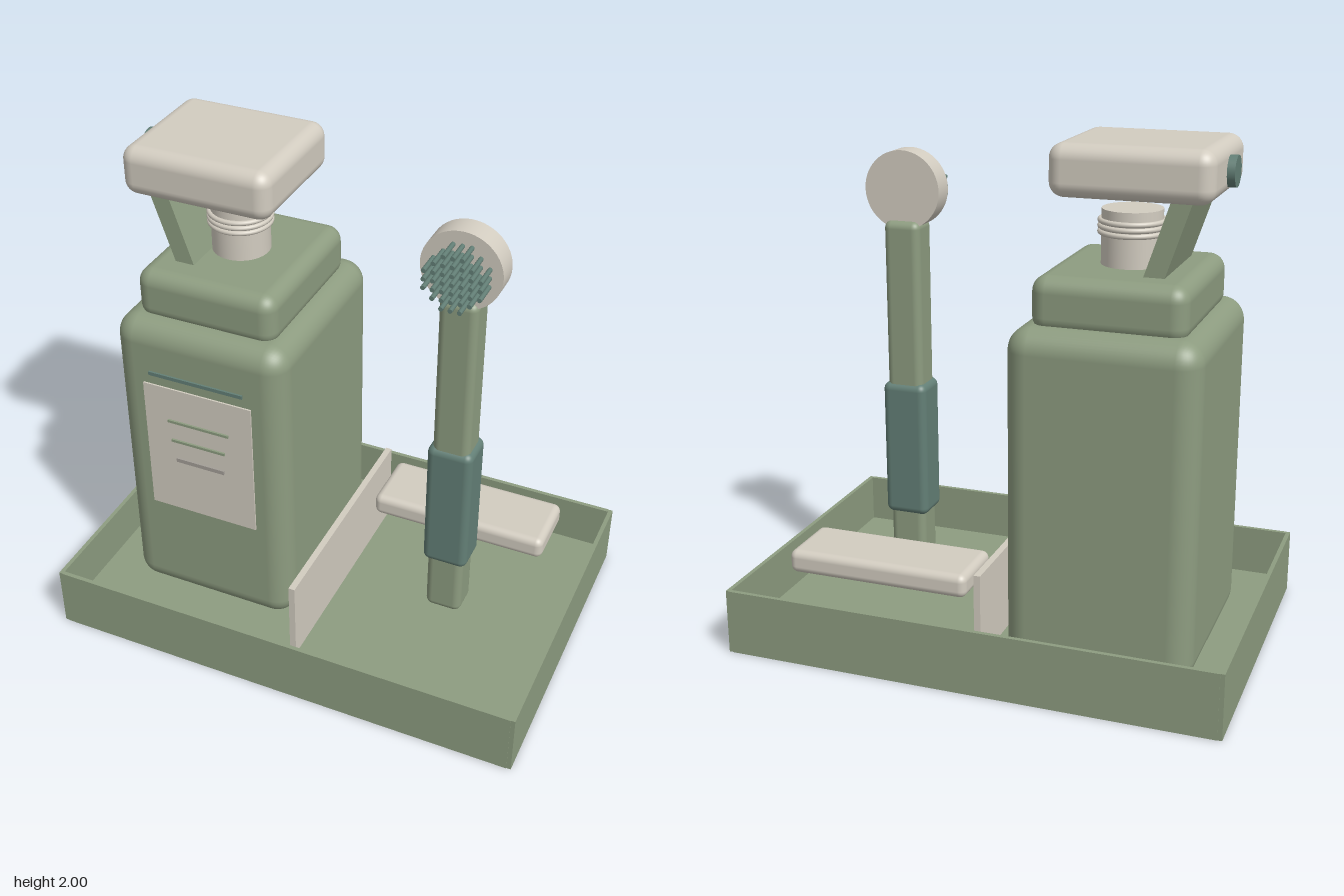
import * as THREE from 'three';
import { RoundedBoxGeometry } from 'three/addons/geometries/RoundedBoxGeometry.js';

const mat = (name, color) => {
  const m = new THREE.MeshStandardMaterial({ color });
  m.name = name;
  return m;
};

export function createModel() {
  const green = mat('sage green', 0x8d9c80);
  const cream = mat('warm cream', 0xd2ccc0);
  const teal = mat('deep teal', 0x637f76);
  const stone = mat('stone grey', 0xa39e97);

  const root = new THREE.Group();
  root.name = 'washstandSet';
  const group = (name) => {
    const g = new THREE.Group();
    g.name = name;
    root.add(g);
    return g;
  };
  const add = (parent, name, geometry, material, x = 0, y = 0, z = 0) => {
    const mesh = new THREE.Mesh(geometry, material);
    mesh.name = name;
    mesh.position.set(x, y, z);
    parent.add(mesh);
    return mesh;
  };
  // Box given by its limits on each axis, rounded when r > 0
  const block = (parent, name, material, [x0, x1], [y0, y1], [z0, z1], r = 0) => {
    const size = [x1 - x0, y1 - y0, z1 - z0];
    const geometry = r ? new RoundedBoxGeometry(...size, 5, r) : new THREE.BoxGeometry(...size);
    return add(parent, name, geometry, material, (x0 + x1) / 2, (y0 + y1) / 2, (z0 + z1) / 2);
  };

  // Tray with thin walls
  const tray = group('tray');
  block(tray, 'trayFloor', green, [-0.965, 0.965], [0, 0.06], [-0.64, 0.64]);
  for (const s of [-1, 1]) {
    const side = s > 0 ? 'Left' : 'Right';
    const end = s > 0 ? 'Front' : 'Back';
    block(tray, 'tray' + side + 'Wall', green, s > 0 ? [0.963, 0.98] : [-0.98, -0.963], [0, 0.26], [-0.653, 0.653]);
    block(tray, 'tray' + end + 'Wall', green, [-0.963, 0.963], [0, 0.26], s > 0 ? [0.638, 0.655] : [-0.655, -0.638]);
  }
  block(root, 'divider', cream, [-0.013, 0.013], [0.05, 0.405], [-0.49, 0.493]);
  block(root, 'soapBar', cream, [0.058, 0.8], [0.285, 0.38], [-0.47, -0.19], 0.03);

  // Dispenser bottle
  const bottle = group('dispenser');
  const bx = -0.452, bz = -0.063;
  block(bottle, 'bottleBody', green, [-0.812, -0.092], [0.055, 1.363], [-0.474, 0.347], 0.09);
  block(bottle, 'bottleShoulder', green, [-0.74, -0.164], [1.33, 1.54], [-0.39, 0.265], 0.06);
  add(bottle, 'neck', new THREE.CylinderGeometry(0.113, 0.113, 0.225, 40), cream, bx, 1.633, bz);
  for (let i = 0; i < 3; i++) {
    const ring = add(bottle, 'neckRing', new THREE.TorusGeometry(0.118, 0.01, 10, 40), cream, bx, 1.66 + i * 0.021, bz);
    ring.rotation.x = Math.PI / 2;
  }

  // Pump head on a slanted strut
  const strut = add(bottle, 'pumpStrut', new THREE.BoxGeometry(0.073, 0.38, 0.405), green, -0.634, 1.675, bz);
  strut.rotation.z = 0.325;
  block(bottle, 'pumpHead', cream, [-0.802, -0.204], [1.808, 2], [-0.328, 0.2], 0.055);
  const knob = add(bottle, 'pumpKnob', new THREE.CylinderGeometry(0.057, 0.057, 0.05, 28), teal, -0.806, 1.898, -0.07);
  knob.rotation.z = Math.PI / 2;

  // Label and printed stripes
  block(bottle, 'label', cream, [-0.683, -0.222], [0.52, 1.105], [0.346, 0.354]);
  const stripes = [
    ['titleStripe', teal, -0.655, -0.255, 1.155, 0.015, 0.346],
    ['labelStripe', green, -0.583, -0.32, 0.955, 0.011, 0.353],
    ['labelStripe', green, -0.572, -0.34, 0.864, 0.011, 0.353],
    ['labelStripe', stone, -0.556, -0.347, 0.772, 0.017, 0.353],
  ];
  for (const [name, m, x0, x1, y, h, z] of stripes)
    block(bottle, name, m, [x0, x1], [y - h / 2, y + h / 2], [z, z + 0.009]);

  // Upright brush
  const brush = group('brush');
  const cx = 0.488;
  block(brush, 'brushHandle', green, [0.414, 0.562], [0.16, 1.622], [-0.026, 0.113], 0.03);
  block(brush, 'brushGrip', teal, [0.397, 0.579], [0.408, 0.967], [-0.038, 0.124], 0.03);
  const head = add(brush, 'brushHead', new THREE.CylinderGeometry(0.154, 0.154, 0.094, 48), cream, cx, 1.742, 0.046);
  head.rotation.x = Math.PI / 2;

  // Bristles on a grid clipped to a circle
  const bristle = new THREE.CylinderGeometry(0.009, 0.009, 0.11, 10);
  for (let i = -3; i <= 3; i++)
    for (let j = -3; j <= 3; j++) {
      if (i * i + j * j > 10) continue;
      const b = add(brush, 'bristle', bristle, teal, cx + i * 0.0345, 1.737 + j * 0.0345, 0.137);
      b.rotation.x = Math.PI / 2;
    }
  return root;
}
